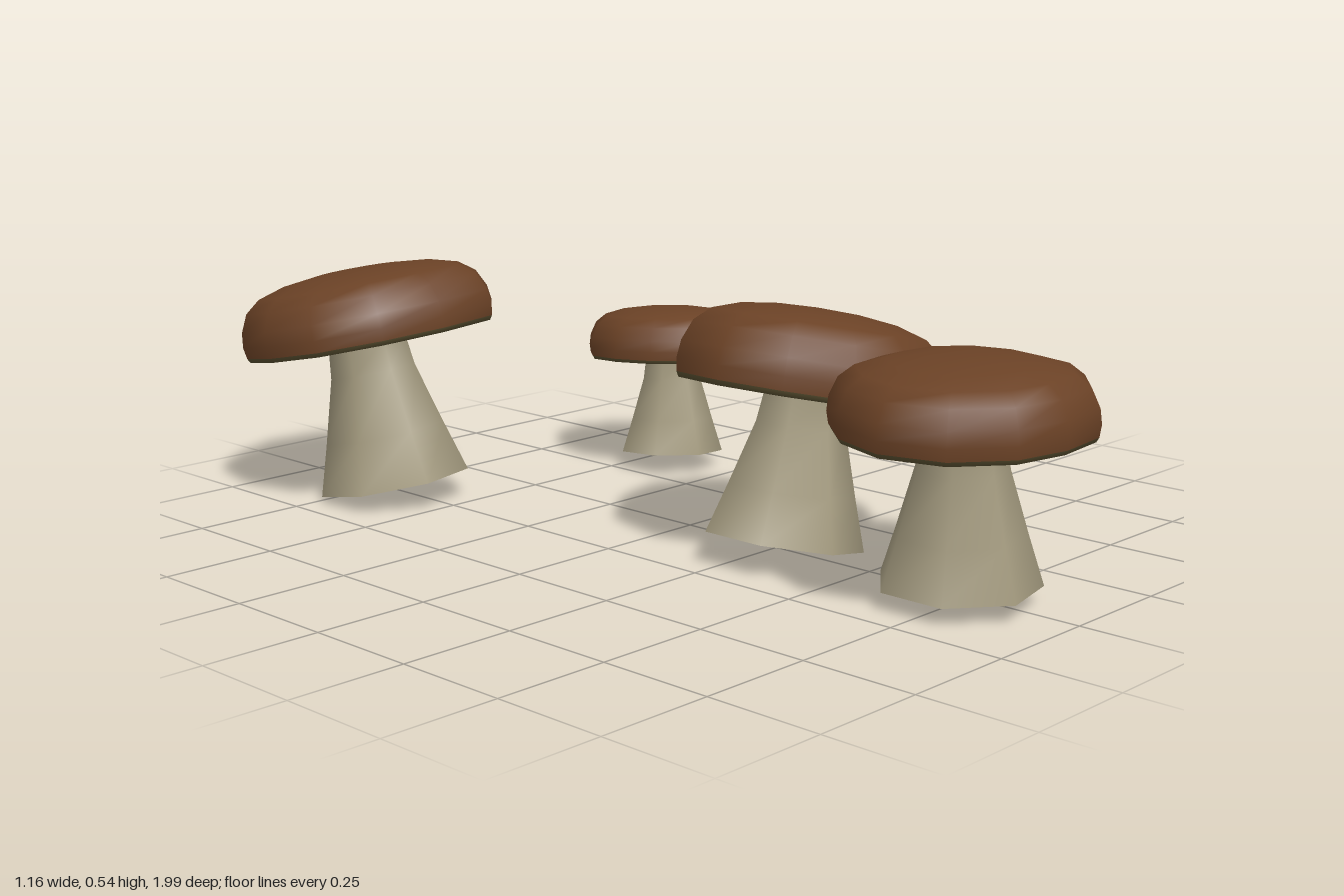
import * as THREE from 'three';

const paint = (name, color) => new THREE.MeshStandardMaterial({ name, color, side: THREE.DoubleSide });

// Smooth skin through rings [radiusFactor, y]; outline holds one radius per corner.
function loft(rings, outline) {
  const n = outline.length, positions = [], index = [];
  for (const [f, y] of rings) {
    outline.forEach((r, j) => {
      const a = (j / n) * Math.PI * 2;
      positions.push(Math.cos(a) * r * f, y, Math.sin(a) * r * f);
    });
  }
  const at = (i, j) => i * n + (rings[i][0] === 0 ? 0 : j % n);
  for (let i = 0; i < rings.length - 1; i++) {
    for (let j = 0; j < n; j++) {
      const a = at(i, j), b = at(i, j + 1), c = at(i + 1, j), d = at(i + 1, j + 1);
      index.push(a, c, b);
      if (c !== d) index.push(b, c, d);
    }
  }
  const g = new THREE.BufferGeometry();
  g.setAttribute('position', new THREE.Float32BufferAttribute(positions, 3));
  g.setIndex(index);
  g.computeVertexNormals();
  return g;
}

// base: centre of the stem foot; tilt: lean about x and z; outline: cap radii from +x towards +z
const MUSHROOMS = [
  { name: 'frontMushroom', base: [-0.035, 0.04, 0.745], tilt: [0, 0], foot: 0.165, stem: 0.295, cap: 0.155,
    outline: [0.265, 0.275, 0.26, 0.24, 0.25, 0.265, 0.265, 0.255, 0.262, 0.245, 0.26, 0.265] },
  { name: 'middleMushroom', base: [-0.045, 0.042, 0.303], tilt: [0, -0.22], foot: 0.172, stem: 0.305, cap: 0.18,
    outline: [0.28, 0.275, 0.29, 0.26, 0.265, 0.27, 0.28, 0.284, 0.275, 0.29, 0.296, 0.28] },
  { name: 'smallMushroom', base: [0.365, 0.041, -0.41], tilt: [-0.07, -0.08], foot: 0.124, stem: 0.225, cap: 0.125,
    outline: [0.198, 0.2, 0.19, 0.186, 0.2, 0.196, 0.192, 0.198, 0.206, 0.206, 0.19, 0.195] },
  { name: 'backMushroom', base: [-0.285, 0.04, -0.663], tilt: [-0.19, 0.06], foot: 0.172, stem: 0.33, cap: 0.165,
    outline: [0.278, 0.3, 0.312, 0.286, 0.28, 0.286, 0.27, 0.275, 0.255, 0.275, 0.29, 0.28] },
];

export function createModel() {
  const brown = paint('capBrown', 0x6b4226);
  const olive = paint('gillOlive', 0x5c5232);
  const cream = paint('stemCream', 0xa0977c);
  const model = new THREE.Group();
  model.name = 'mushrooms';

  for (const { name, base, tilt, foot, stem, cap, outline } of MUSHROOMS) {
    const mushroom = new THREE.Group();
    mushroom.name = name;
    const add = (part, geometry, material, y) => {
      const mesh = new THREE.Mesh(geometry, material);
      mesh.name = part;
      mesh.position.y = y;
      mushroom.add(mesh);
    };

    // Flared stem, open at the foot, running a little way into the cap
    add('stem', loft([[1, 0], [0.8, stem * 0.35], [0.57, stem * 0.78], [0.52, stem], [0.5, stem + cap * 0.35]],
      Array(7).fill(foot)), cream, 0);

    // Domed cap
    add('cap', loft([[0.985, 0.06], [1, 0.22], [0.985, 0.42], [0.92, 0.66], [0.8, 0.82], [0.58, 0.93], [0.3, 0.985], [0, 1]]
      .map(([f, y]) => [f, y * cap]), outline), brown, stem);

    // Gill ring with a small lip, leaving a gap around the stem
    const hole = (foot * 0.62) / outline[0];
    add('gills', loft([[hole, 0.03], [0.965, 0], [0.985, 0.06]].map(([f, y]) => [f, y * cap]), outline), olive, stem);

    // Brown flesh showing in the gap around the stem
    add('flesh', loft([[0.25, 0.1], [hole * 1.1, 0.08]].map(([f, y]) => [f, y * cap]), outline), brown, stem);

    mushroom.position.set(...base);
    mushroom.rotation.set(tilt[0], 0, tilt[1]);
    model.add(mushroom);
  }
  return model;
}
